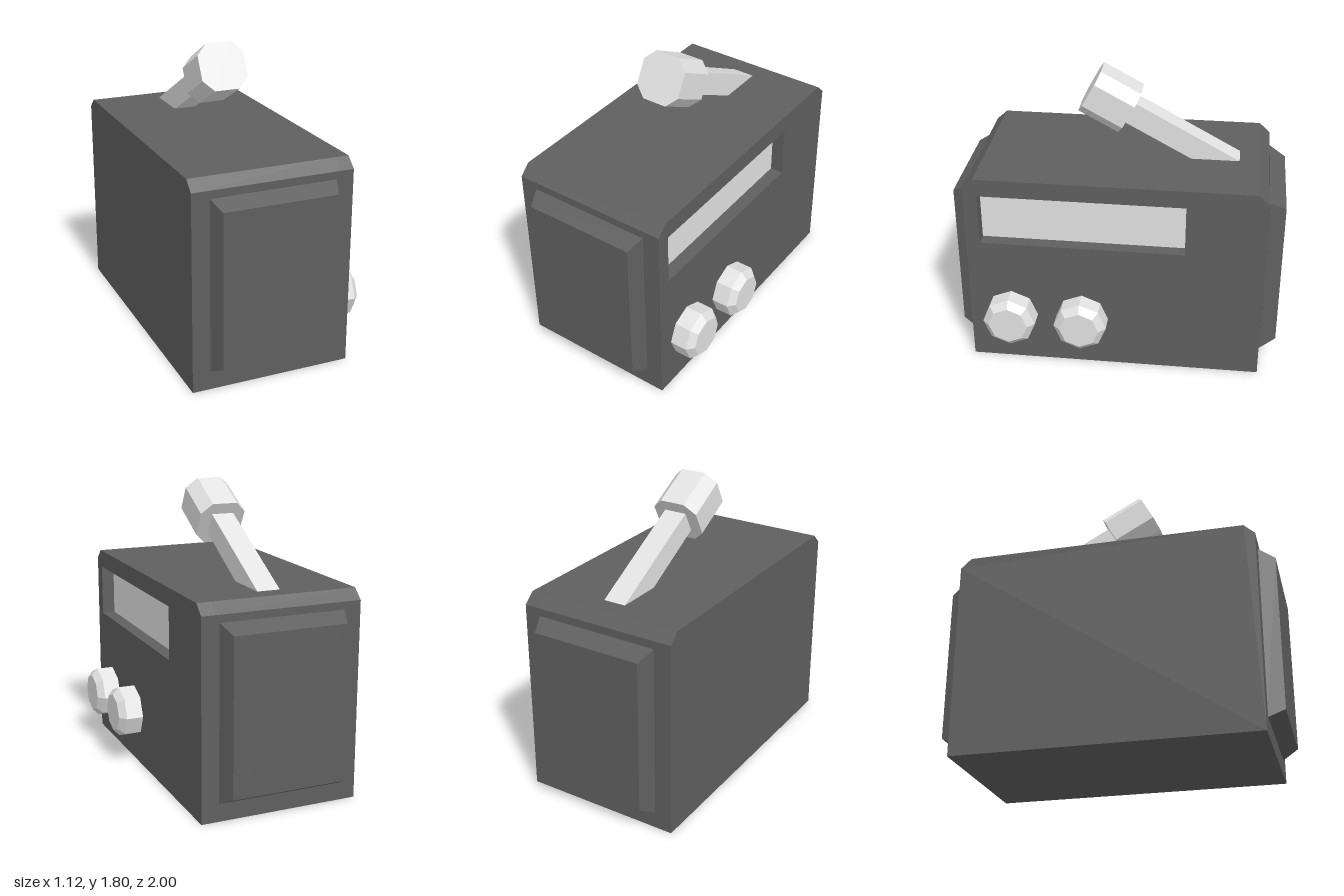
import * as THREE from 'three';

const dark = new THREE.MeshStandardMaterial({ color: 0x5f5f5f });
dark.name = 'dark grey casing';
const light = new THREE.MeshStandardMaterial({ color: 0xe2e2e2 });
light.name = 'light grey trim';

const CX = -0.075; // middle of the casing

function add(parent, name, geometry, material, x = 0, y = 0, z = 0) {
  const mesh = new THREE.Mesh(geometry, material);
  mesh.name = name;
  mesh.position.set(x, y, z);
  parent.add(mesh);
  return mesh;
}

const polygon = (points) => points.map(([a, b]) => new THREE.Vector2(a, b));

// Side outline of the casing, given as [z, y], extruded along x
function casingSlab(x0, x1, hole) {
  const flip = (points) => polygon(points.map(([z, y]) => [-z, y]));
  const shape = new THREE.Shape(flip([
    [0.905, 0], [-0.895, 0], [-0.895, 1.2], [-0.83, 1.26], [0.84, 1.26], [0.905, 1.2],
  ]));
  if (hole) shape.holes.push(new THREE.Path(flip(hole)));
  return new THREE.ExtrudeGeometry(shape, { depth: x1 - x0, bevelEnabled: false })
    .rotateY(Math.PI / 2).translate(x0, 0, 0);
}

// Box whose outer (+z) face is smaller than its base
function taperedPlate() {
  const geometry = new THREE.BoxGeometry(0.77, 1.045, 0.1).translate(0, 0, 0.05);
  const p = geometry.attributes.position;
  for (let i = 0; i < p.count; i++) {
    if (p.getZ(i) > 0.05) p.setXY(i, p.getX(i) * 0.896, p.getY(i) * 0.897);
  }
  geometry.computeVertexNormals();
  return geometry;
}

// Eight-sided knob with a bevelled outer rim, pointing along +x
function knobGeometry() {
  const profile = polygon([[0, 0], [0.162, 0], [0.162, 0.105], [0.12, 0.145], [0, 0.145]]);
  const geometry = new THREE.LatheGeometry(profile, 8).toNonIndexed();
  geometry.computeVertexNormals();
  return geometry.rotateZ(-Math.PI / 2);
}

export function createModel() {
  const model = new THREE.Group();
  model.name = 'device';

  // Casing with a recessed window on its left side
  const opening = [[0.82, 0.83], [0.82, 1.15], [-0.42, 1.15], [-0.42, 0.83]];
  const casing = new THREE.Group();
  casing.name = 'casing';
  model.add(casing);
  add(casing, 'casingBody', casingSlab(-0.565, 0.33), dark);
  add(casing, 'casingSide', casingSlab(0.33, 0.415, opening), dark);
  add(casing, 'windowPanel', new THREE.BoxGeometry(0.008, 0.32, 1.24), light, 0.33, 0.99, 0.2);

  // Raised end plates
  add(model, 'frontPlate', taperedPlate(), dark, CX, 0.633, 0.9);
  add(model, 'backPlate', taperedPlate(), dark, CX, 0.633, -0.9).rotation.y = Math.PI;

  // Side knobs
  for (const [name, z] of [['frontKnob', 0.645], ['rearKnob', 0.205]]) {
    add(model, name, knobGeometry(), light, 0.415, 0.33, z);
  }

  // Lever leaning forward out of the top
  const lever = new THREE.Group();
  lever.name = 'lever';
  lever.position.set(CX, 1.26, -0.565);
  lever.rotation.x = THREE.MathUtils.degToRad(-28.6);
  model.add(lever);
  add(lever, 'leverArm', new THREE.BoxGeometry(0.14, 0.14, 0.8), light, 0, 0, 0.2);
  const a = 0.145, b = 0.078;
  const octagon = new THREE.Shape(polygon([
    [a, -b], [a, b], [b, a], [-b, a], [-a, b], [-a, -b], [-b, -a], [b, -a],
  ]));
  add(lever, 'leverHandle',
    new THREE.ExtrudeGeometry(octagon, { depth: 0.273, bevelEnabled: false }), light, 0, 0, 0.595);

  return model;
}
